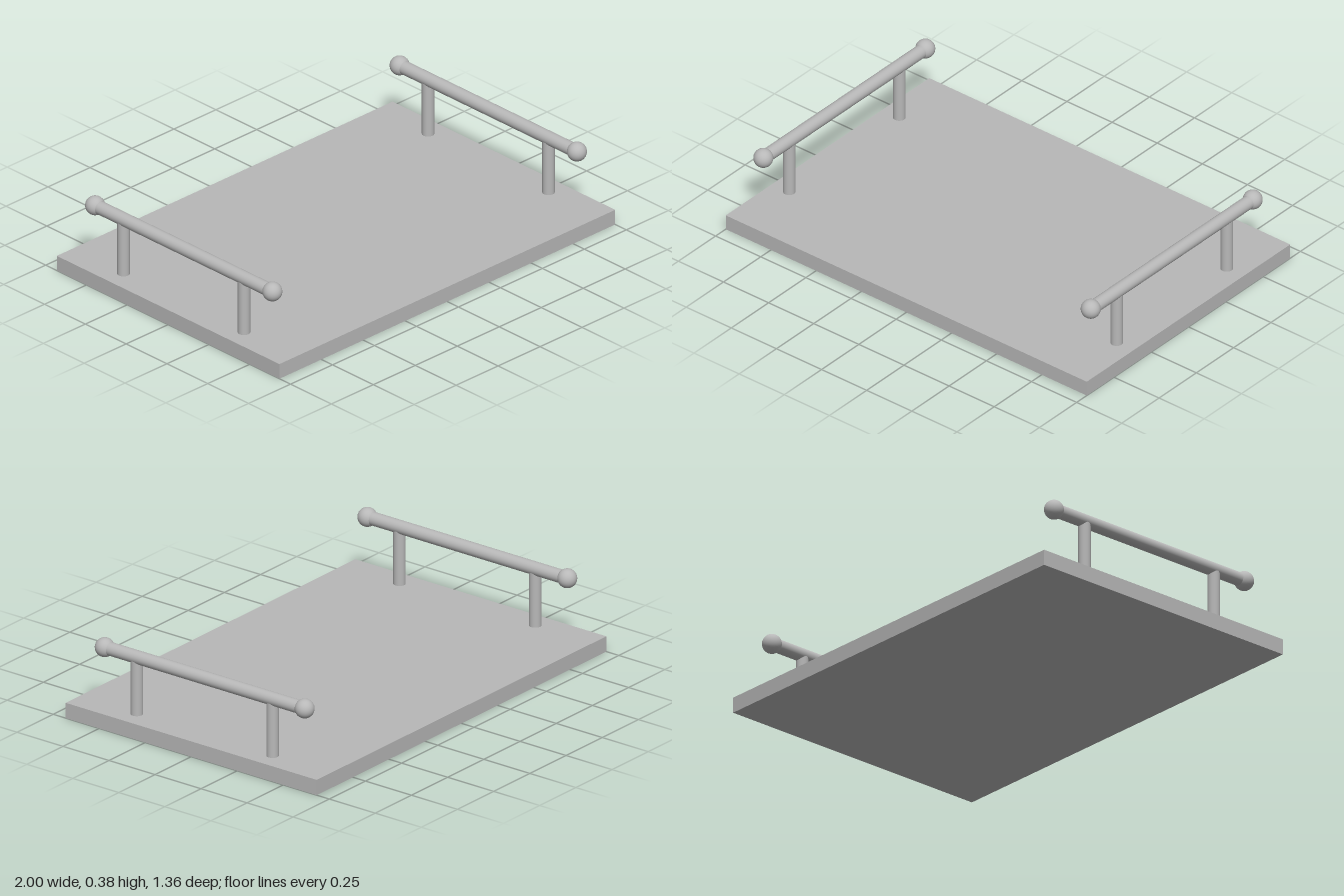
import * as THREE from 'three';

const BOARD = { width: 2, height: 0.071, depth: 1.364 };
const RAIL = { x: 0.907, y: 0.335, radius: 0.03, halfLength: 0.543 };
const POST = { z: 0.369, radius: 0.027 };
const KNOB_RADIUS = 0.043;

export function createModel() {
  const grey = new THREE.MeshStandardMaterial({ color: 0xb8b8b8 });
  grey.name = 'plain grey';

  const add = (parent, name, geometry, x, y, z) => {
    const mesh = new THREE.Mesh(geometry, grey);
    mesh.name = name;
    mesh.position.set(x, y, z);
    parent.add(mesh);
    return mesh;
  };

  const tray = new THREE.Group();
  tray.name = 'servingTray';

  // Flat board standing on the ground
  add(tray, 'board', new THREE.BoxGeometry(BOARD.width, BOARD.height, BOARD.depth), 0, BOARD.height / 2, 0);

  // Shared handle geometries; posts run from inside the board up into the rail
  const postBottom = BOARD.height - 0.01;
  const postHeight = RAIL.y - postBottom;
  const postGeometry = new THREE.CylinderGeometry(POST.radius, POST.radius, postHeight, 32);
  const railGeometry = new THREE.CylinderGeometry(RAIL.radius, RAIL.radius, RAIL.halfLength * 2, 32);
  railGeometry.rotateX(Math.PI / 2);
  const knobGeometry = new THREE.SphereGeometry(KNOB_RADIUS, 32, 20);

  // One handle on each short side
  for (const side of [1, -1]) {
    const handle = new THREE.Group();
    handle.name = side > 0 ? 'leftHandle' : 'rightHandle';
    handle.position.x = side * RAIL.x;
    add(handle, 'rail', railGeometry, 0, RAIL.y, 0);
    for (const end of [1, -1]) {
      const place = end > 0 ? 'front' : 'back';
      add(handle, place + 'Post', postGeometry, 0, postBottom + postHeight / 2, end * POST.z);
      add(handle, place + 'Knob', knobGeometry, 0, RAIL.y, end * RAIL.halfLength);
    }
    tray.add(handle);
  }

  return tray;
}
